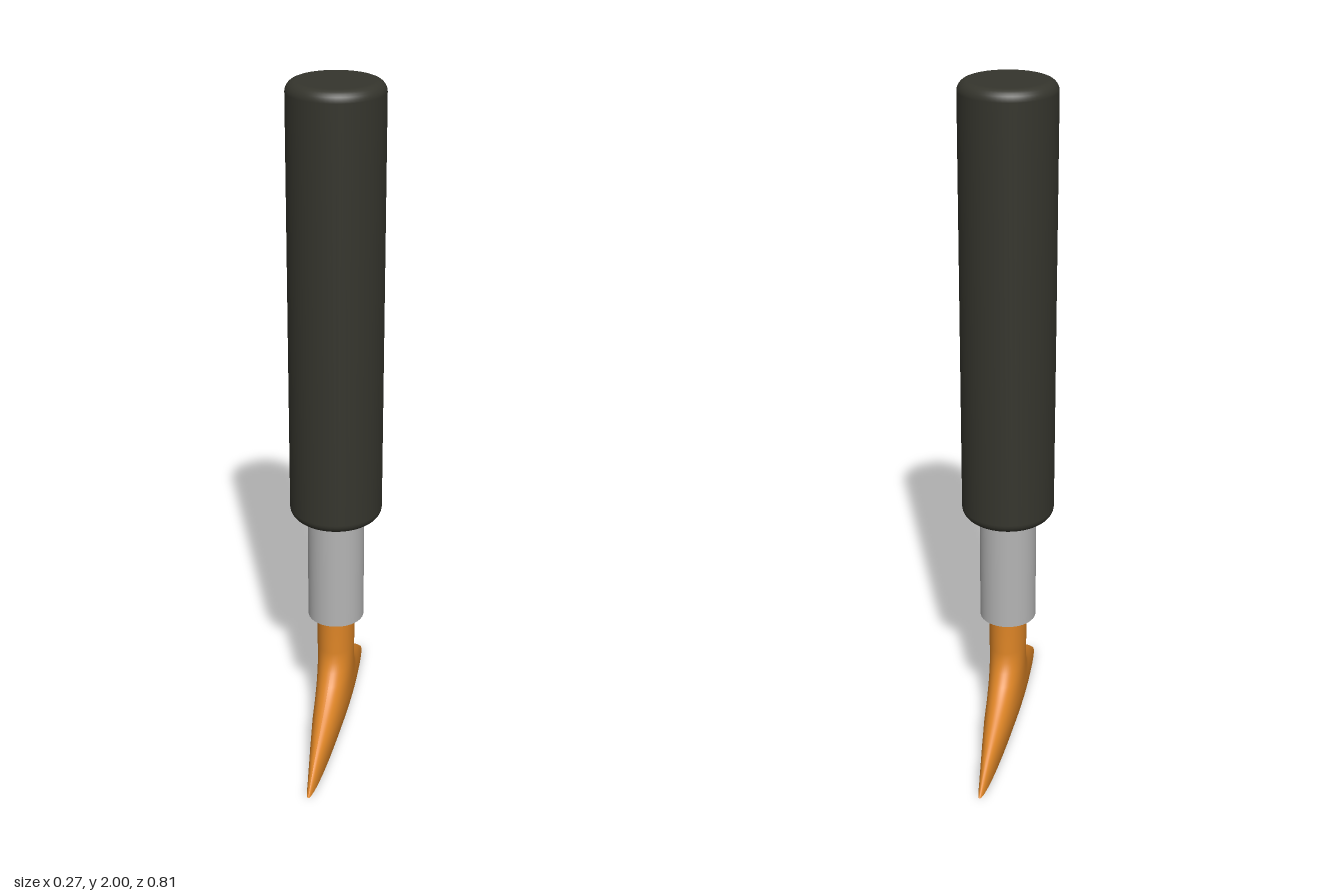
import * as THREE from 'three';

const handleDark = new THREE.MeshStandardMaterial({ name: 'charcoal grip', color: 0x35352d });
const ferruleGrey = new THREE.MeshStandardMaterial({ name: 'pale grey metal', color: 0xb4b4b4 });
const headOrange = new THREE.MeshStandardMaterial({ name: 'orange head', color: 0xdc8426 });

// Lofts elliptical sections [y, half width x, half length z], listed bottom to top
function loftEllipses(sections, sides) {
  const positions = [], indices = [];
  const ring = ([y, rx, rz]) => {
    for (let i = 0; i <= sides; i++) {
      const a = (i / sides) * Math.PI * 2;
      positions.push(Math.sin(a) * rx, y, Math.cos(a) * rz);
    }
  };
  sections.forEach(ring);
  const row = sides + 1;
  for (let j = 0; j < sections.length - 1; j++) {
    for (let i = 0; i < sides; i++) {
      const a = j * row + i, b = a + 1, c = a + row, d = c + 1;
      indices.push(a, b, d, a, d, c);
    }
  }
  // Flat underside with its own vertices, so its rim stays sharp
  const base = positions.length / 3;
  ring(sections[0]);
  const centre = positions.length / 3;
  positions.push(0, sections[0][0], 0);
  for (let i = 0; i < sides; i++) indices.push(centre, base + i + 1, base + i);
  const geometry = new THREE.BufferGeometry();
  geometry.setAttribute('position', new THREE.Float32BufferAttribute(positions, 3));
  geometry.setIndex(indices);
  geometry.computeVertexNormals();
  return geometry;
}

// Cylinder with rounded rims, turned from a profile
function roundedCylinder(radius, y0, y1, bevel) {
  const points = [new THREE.Vector2(0, y0)];
  const corner = (cy, start) => {
    for (let i = 0; i <= 6; i++) {
      const a = start + (i / 6) * Math.PI / 2;
      points.push(new THREE.Vector2(radius - bevel + Math.cos(a) * bevel, cy + Math.sin(a) * bevel));
    }
  };
  corner(y0 + bevel, -Math.PI / 2);
  corner(y1 - bevel, 0);
  points.push(new THREE.Vector2(0, y1));
  return new THREE.LatheGeometry(points, 64);
}

export function createModel() {
  const model = new THREE.Group();
  model.name = 'handTool';
  const add = (name, geometry, material) => {
    const mesh = new THREE.Mesh(geometry, material);
    mesh.name = name;
    model.add(mesh);
    return mesh;
  };

  // Grip
  add('handle', roundedCylinder(0.134, 0.725, 2, 0.03), handleDark);

  // Metal collar between grip and head
  add('ferrule', new THREE.CylinderGeometry(0.083, 0.083, 0.36, 48), ferruleGrey).position.y = 0.565;

  // Head: round neck flaring into a long thin blade
  add('flaredHead', loftEllipses([
    [0, 0.027, 0.405],
    [0.03, 0.036, 0.366],
    [0.065, 0.044, 0.318],
    [0.1, 0.05, 0.26],
    [0.13, 0.051, 0.207],
    [0.16, 0.052, 0.157],
    [0.19, 0.053, 0.117],
    [0.22, 0.0535, 0.09],
    [0.25, 0.054, 0.076],
    [0.28, 0.055, 0.07],
    [0.4, 0.056, 0.07],
  ], 64), headOrange);

  return model;
}
